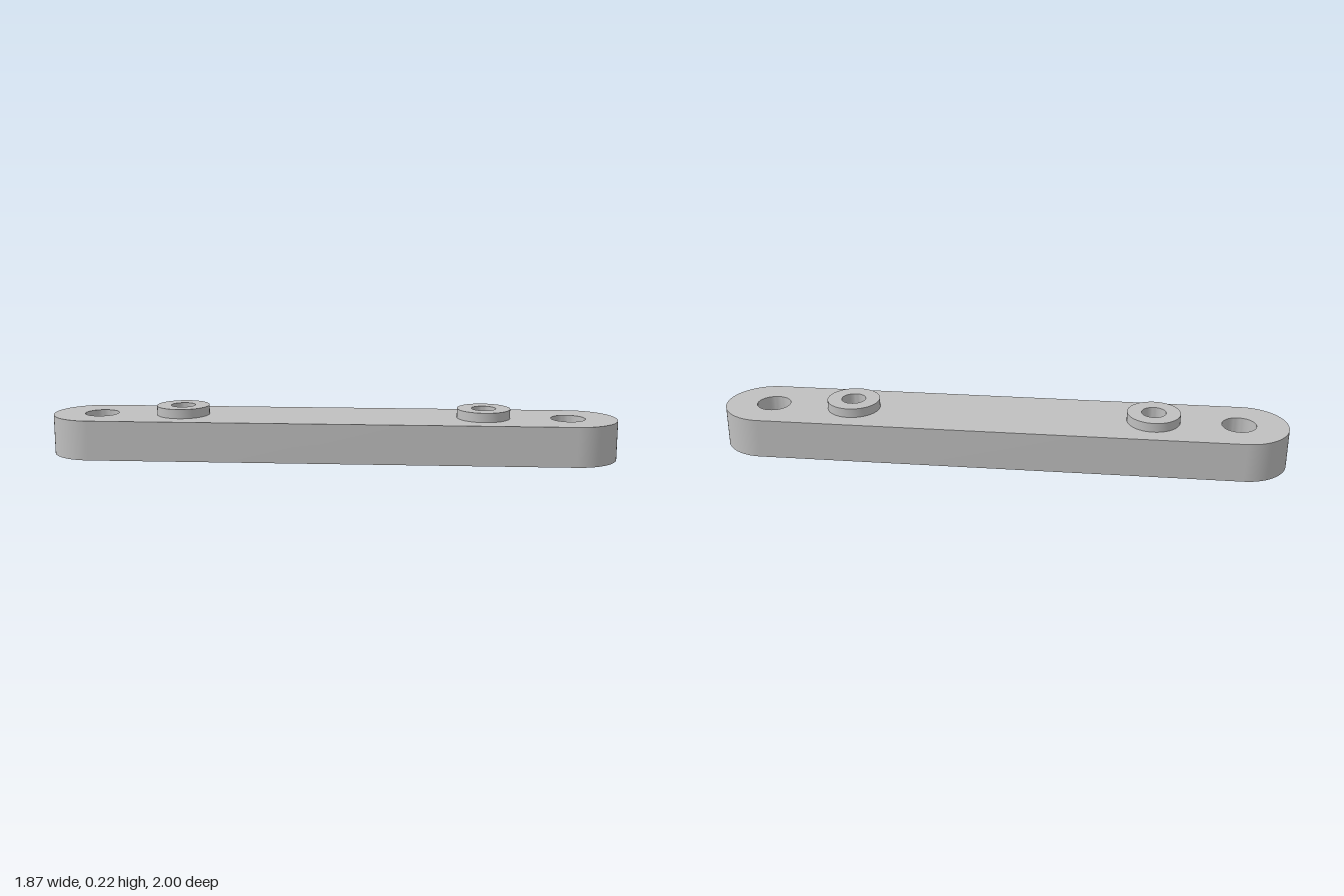
import * as THREE from 'three';
import { toCreasedNormals } from 'three/addons/utils/BufferGeometryUtils.js';

const R = 0.2;            // half width and end radius
const END_X = 0.735, END_Z = 0.8; // centre of one rounded end
const L = Math.hypot(END_X, END_Z);
const T = 0.18;           // bar thickness
const END_HOLE = 1.066, BOSS_HOLE = 0.686; // distances from the middle

// Rounded bar outline with four round holes
function barShape(endRadius, bossRadius) {
  const shape = new THREE.Shape();
  shape.absarc(L, 0, R, -Math.PI / 2, Math.PI / 2);
  shape.absarc(-L, 0, R, Math.PI / 2, Math.PI * 1.5);
  shape.closePath();
  for (const s of [-1, 1]) {
    for (const [d, r] of [[END_HOLE, endRadius], [BOSS_HOLE, bossRadius]]) {
      shape.holes.push(new THREE.Path().absarc(s * d, 0, r, 0, Math.PI * 2, true));
    }
  }
  return shape;
}

// Strip of wall following the outline
function wallGeometry(points) {
  const n = points.length;
  const geo = new THREE.PlaneGeometry(1, 1, n - 1, 1);
  const pos = geo.attributes.position;
  for (let i = 0; i < pos.count; i++) {
    const p = points[i % n];
    pos.setXYZ(i, p.x, i < n ? T : 0, -p.y);
  }
  return toCreasedNormals(geo, 0.5);
}

function lathe(profile) {
  const points = profile.map(([r, y]) => new THREE.Vector2(r, y));
  return toCreasedNormals(new THREE.LatheGeometry(points, 48), 0.5);
}

export function createModel() {
  const model = new THREE.Group();
  model.name = 'mountingBar';
  const grey = new THREE.MeshStandardMaterial({ color: 0xc0c0c0 });
  grey.name = 'grey';

  const bar = new THREE.Group();
  bar.name = 'bar';
  bar.rotation.y = -Math.atan2(END_Z, END_X);
  model.add(bar);

  const add = (name, geometry, x = 0, y = 0) => {
    const mesh = new THREE.Mesh(geometry, grey);
    mesh.name = name;
    mesh.position.set(x, y, 0);
    bar.add(mesh);
  };

  // Top and bottom faces and the outer wall
  const top = new THREE.ShapeGeometry(barShape(0.077, 0.12), 24).rotateX(-Math.PI / 2);
  const bottom = new THREE.ShapeGeometry(barShape(0.138, 0.094), 24).rotateX(Math.PI / 2);
  add('topFace', top, 0, T);
  add('bottomFace', bottom);
  add('outerWall', wallGeometry(barShape(0.077, 0.12).getPoints(24)));

  // Stepped end holes, and raised bosses with stepped holes
  const endHole = lathe([[0.077, T], [0.077, 0.09], [0.138, 0.09], [0.138, 0]]);
  const boss = lathe([
    [0.12, T], [0.12, 0.222], [0.055, 0.222],
    [0.055, 0.07], [0.094, 0.07], [0.094, 0],
  ]);
  for (const [side, s] of [['Front', 1], ['Back', -1]]) {
    add('endHole' + side, endHole, s * END_HOLE);
    add('boss' + side, boss, s * BOSS_HOLE);
  }
  return model;
}
